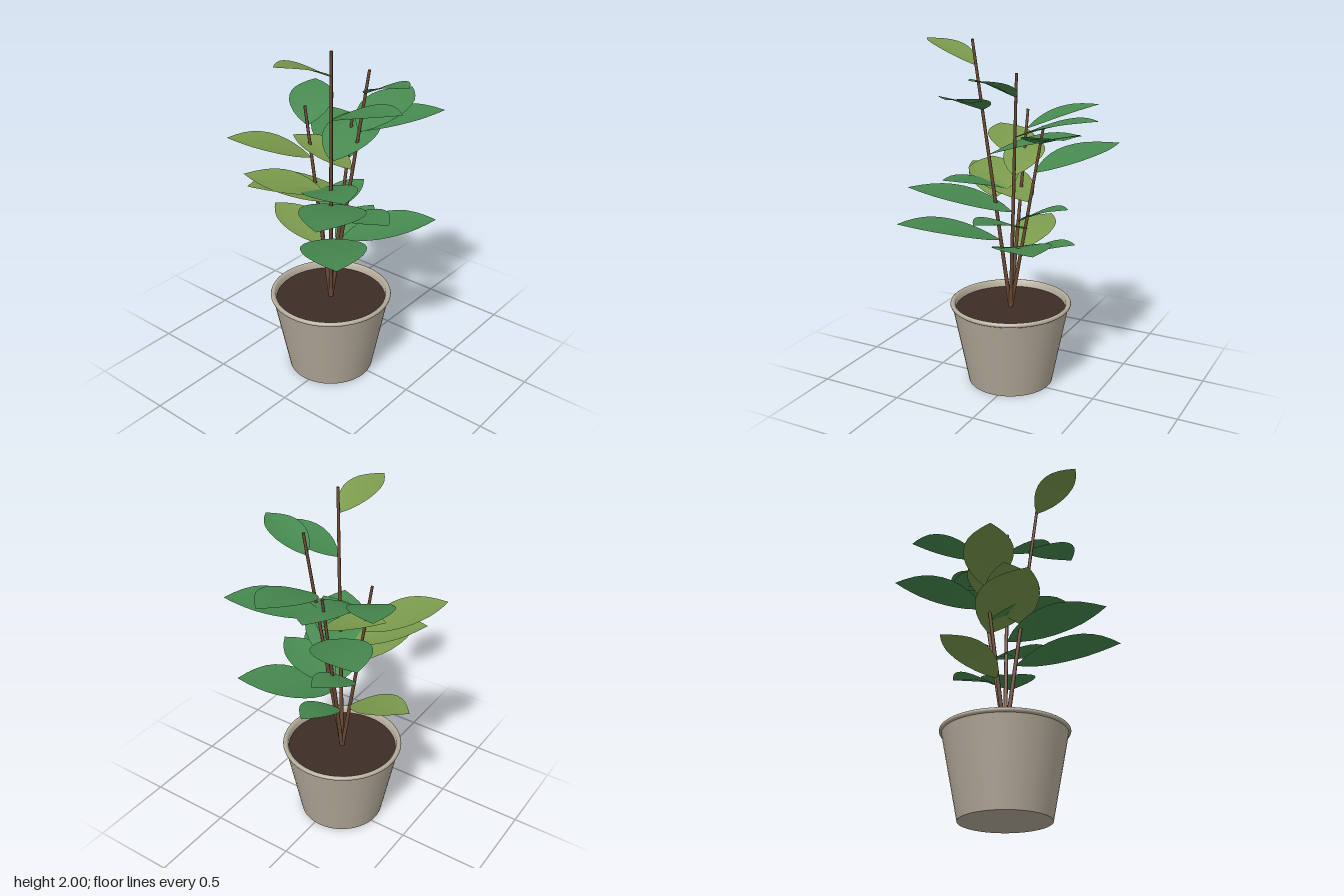
import * as THREE from 'three';

const V = (a) => new THREE.Vector3(...a);
const mat = (color, side = THREE.FrontSide) => new THREE.MeshStandardMaterial({ color, side });

const potMat = mat(0xb5ac9a);
const soilMat = mat(0x3d2c25);
const stemMat = mat(0x6b4a35);
const greenMat = mat(0x478a50, THREE.DoubleSide);
const youngMat = mat(0x7a9a4c, THREE.DoubleSide);

const CX = -0.042, CZ = -0.031; // pot axis
const ROOT = [CX, 0.44, CZ];

// Each stem: its top, then leaves as [height on stem, tip, young?]
const STEMS = [
  { top: [-0.196, 2.0, 0.108], leaves: [
    [1.86, [-0.53, 1.985, 0.03], true],
    [1.62, [-0.13, 1.74, 0.5]],
    [1.37, [0.37, 1.5, -0.06]],
    [1.12, [-0.35, 1.25, -0.39], true],
    [0.87, [-0.52, 1.01, 0.405]],
  ] },
  { top: [0.08, 1.84, 0.135], leaves: [
    [1.71, [-0.02, 1.835, 0.456]],
    [1.49, [0.53, 1.62, 0.1]],
    [1.27, [-0.03, 1.4, -0.31], true],
    [1.055, [-0.525, 1.19, 0.277]],
    [0.84, [0.325, 0.965, 0.434]],
  ] },
  { top: [-0.028, 1.59, -0.22], leaves: [
    [1.48, [0.315, 1.61, -0.437]],
    [1.3, [-0.355, 1.435, -0.5], true],
    [1.12, [-0.3, 1.255, 0.277]],
    [0.95, [0.3, 1.08, -0.06]],
    [0.775, [0, 0.905, -0.495], true],
  ] },
  { top: [0.158, 1.54, -0.034], leaves: [
    [1.44, [0.457, 1.565, 0.37]],
    [1.275, [0.445, 1.4, -0.438]],
    [1.1, [-0.43, 1.235, -0.285], true],
    [0.94, [-0.05, 1.065, 0.38]],
    [0.77, [0.36, 0.895, -0.03]],
  ] },
];

// Half-width of the blade from base to tip, relative to its widest point
const BLADE = [0, 0.42, 0.7, 0.88, 0.98, 1, 0.95, 0.83, 0.62, 0.34, 0];

// Arched blade with a shallow crease along the midrib
function leafGeometry(base, tip) {
  const dir = tip.clone().sub(base);
  const length = Math.hypot(dir.x, dir.z);
  const side = new THREE.Vector3(dir.z, 0, -dir.x).normalize(); // up x dir
  const n = BLADE.length - 1;
  const pos = [], idx = [];
  for (let i = 0; i <= n; i++) {
    const u = i / n;
    const mid = base.clone().addScaledVector(dir, u);
    mid.y += 0.018 * Math.sin(Math.PI * u);
    for (let s = -1; s <= 1; s++) {
      const p = mid.clone().addScaledVector(side, s * BLADE[i] * length * 0.3);
      p.y += Math.abs(s) * BLADE[i] * 0.016;
      pos.push(p.x, p.y, p.z);
    }
  }
  for (let i = 0; i < n; i++) {
    for (let j = 0; j < 2; j++) {
      const a = i * 3 + j, b = a + 1, c = a + 3, d = a + 4;
      idx.push(a, c, b, b, c, d);
    }
  }
  const g = new THREE.BufferGeometry();
  g.setAttribute('position', new THREE.Float32BufferAttribute(pos, 3));
  g.setIndex(idx);
  g.computeVertexNormals();
  return g;
}

// Tapered straight stem between two points
function stemMesh(a, b) {
  const dir = b.clone().sub(a);
  const m = new THREE.Mesh(new THREE.CylinderGeometry(0.008, 0.012, dir.length(), 8), stemMat);
  m.position.copy(a).addScaledVector(dir, 0.5);
  m.quaternion.setFromUnitVectors(new THREE.Vector3(0, 1, 0), dir.normalize());
  m.name = 'stem';
  return m;
}

function makePot() {
  const pot = new THREE.Group();
  pot.name = 'pot';
  const add = (geo, material, name, y) => {
    const m = new THREE.Mesh(geo, material);
    m.position.y = y;
    m.name = name;
    pot.add(m);
    return m;
  };
  // Tapered outer wall, closed underneath
  add(new THREE.CylinderGeometry(0.341, 0.248, 0.48, 48, 1, true), potMat, 'potWall', 0.24);
  add(new THREE.CircleGeometry(0.248, 48), potMat, 'potBottom', 0).rotation.x = Math.PI / 2;
  // Inner wall down to the soil
  const inner = [[0.339, 0.49], [0.322, 0.485], [0.316, 0.44]].map((p) => new THREE.Vector2(...p));
  add(new THREE.LatheGeometry(inner, 48), mat(0xb5ac9a, THREE.DoubleSide), 'potInnerWall', 0);
  // Rolled rim
  add(new THREE.TorusGeometry(0.339, 0.013, 10, 48), potMat, 'potRim', 0.481).rotation.x = Math.PI / 2;
  add(new THREE.CircleGeometry(0.318, 48), soilMat, 'soil', 0.455).rotation.x = -Math.PI / 2;
  pot.position.set(CX, 0, CZ);
  return pot;
}

export function createModel() {
  const model = new THREE.Group();
  model.name = 'pottedPlant';
  model.add(makePot());

  // Stems fan out from the middle of the soil, leaves spiral down each one
  const root = V(ROOT);
  for (const { top, leaves } of STEMS) {
    const end = V(top);
    const branch = new THREE.Group();
    branch.name = 'branch';
    branch.add(stemMesh(root, end));
    for (const [y, tip, young] of leaves) {
      const base = root.clone().lerp(end, (y - root.y) / (end.y - root.y));
      const leaf = new THREE.Mesh(leafGeometry(base, V(tip)), young ? youngMat : greenMat);
      leaf.name = 'leaf';
      branch.add(leaf);
    }
    model.add(branch);
  }
  return model;
}
